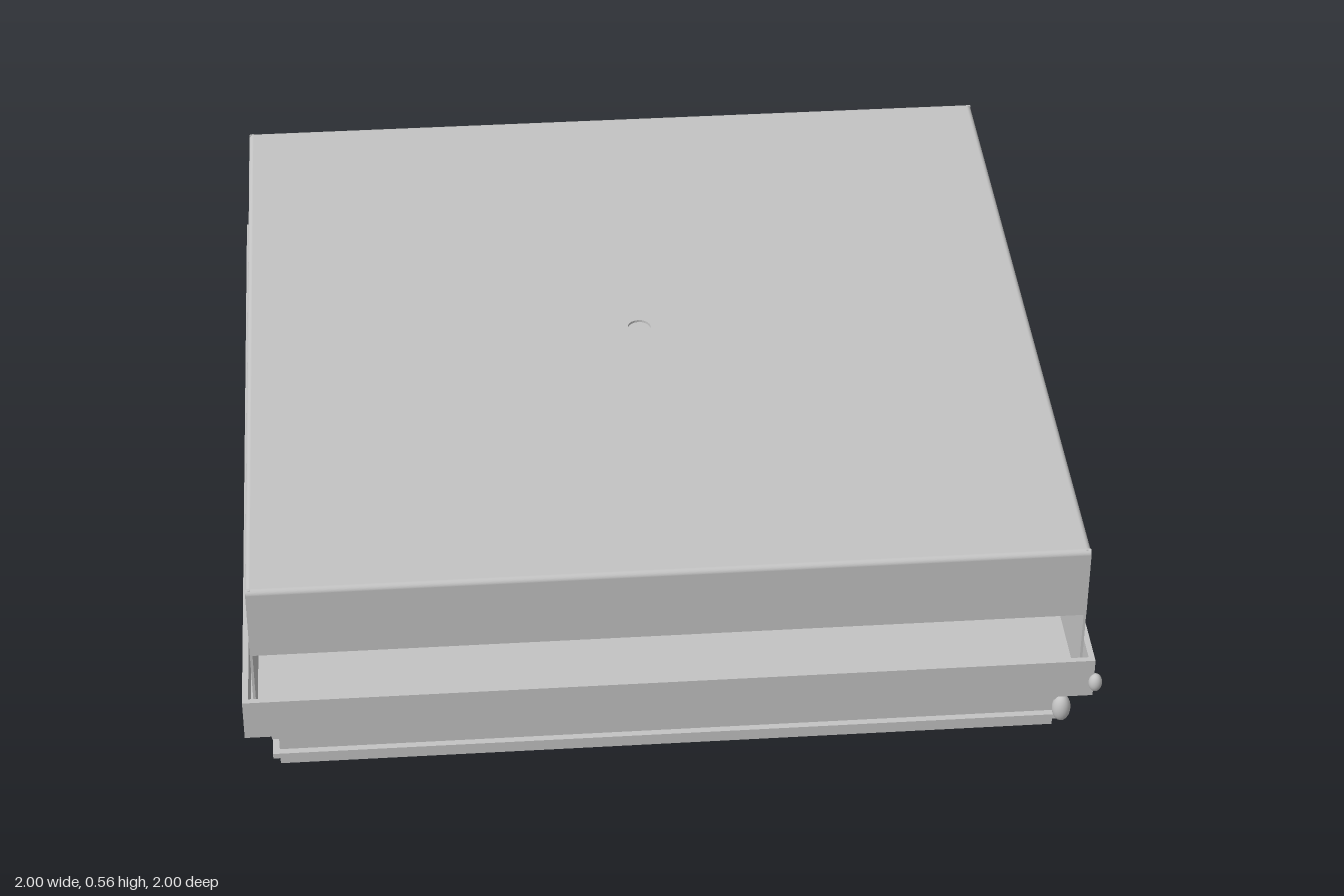
import * as THREE from 'three';

export function createModel() {
  const model = new THREE.Group();
  const body = new THREE.Group();
  body.name = 'cabinet';
  body.position.set(-0.01, 0, -0.01);
  model.add(body);
  const steel = new THREE.MeshStandardMaterial({ color: 0xc3c3c3 });
  steel.name = 'grey sheet metal';

  const add = (name, geometry, x = 0, y = 0, z = 0, turn = 0) => {
    const mesh = new THREE.Mesh(geometry, steel);
    mesh.name = name;
    mesh.position.set(x, y, z);
    mesh.rotation.y = turn;
    body.add(mesh);
    return mesh;
  };
  const rect = (PathType, hw, y0, y1) => {
    const p = new PathType();
    p.moveTo(-hw, y0);
    p.lineTo(hw, y0);
    p.lineTo(hw, y1);
    p.lineTo(-hw, y1);
    p.closePath();
    return p;
  };
  const hole = (x, y, r) => new THREE.Path().absarc(x, y, r, 0, Math.PI * 2, true);
  const extrude = (shape, depth) =>
    new THREE.ExtrudeGeometry(shape, { depth, bevelEnabled: false, curveSegments: 10 });

  // Square ring standing between two heights
  const frame = (name, half, wall, y0, y1) => {
    const s = rect(THREE.Shape, half, -half, half);
    s.holes.push(rect(THREE.Path, half - wall, -(half - wall), half - wall));
    add(name, extrude(s, y1 - y0).rotateX(-Math.PI / 2), 0, y0, 0);
  };

  // Base skirt, open underneath, with two thin ribs
  frame('baseSkirt', 0.915, 0.01, 0, 0.155);
  for (const y of [0.03, 0.09]) frame('baseRib', 0.931, 0.02, y, y + 0.014);

  // Tray floor and rim; the side rims carry two small screw holes each
  add('trayFloor', new THREE.BoxGeometry(1.98, 0.012, 1.98), 0, 0.156, 0);
  for (const s of [-1, 1]) {
    add('trayRimEnd', new THREE.BoxGeometry(1.98, 0.105, 0.014), 0, 0.2025, s * 0.983);
    const side = rect(THREE.Shape, 0.976, 0.15, 0.255);
    for (const z of [-0.61, 0.61]) side.holes.push(hole(z, 0.205, 0.012));
    add('trayRimSide', extrude(side, 0.014).translate(0, 0, -0.007), s * 0.983, 0, 0, Math.PI / 2);
  }

  // Lid: top sheet with a central hole
  const H = 0.965, top = 0.562, r = 0.012, t = 0.006;
  const sheet = rect(THREE.Shape, H - r, -(H - r), H - r);
  sheet.holes.push(hole(0, 0, 0.028));
  add('lidTop', extrude(sheet, t).rotateX(-Math.PI / 2), 0, top - t, 0);

  // Lid walls with a rounded bend into the top sheet
  const flange = (name, bottom, turn, length) => {
    const p = new THREE.Shape();
    p.moveTo(H, bottom);
    p.lineTo(H, top - r);
    p.absarc(H - r, top - r, r, 0, Math.PI / 2, false);
    p.lineTo(H - r, top - t);
    p.absarc(H - r, top - r, r - t, Math.PI / 2, 0, true);
    p.lineTo(H - t, bottom);
    p.closePath();
    add(name, extrude(p, length).translate(0, 0, -length / 2), 0, 0, 0, turn);
  };
  for (const turn of [0, Math.PI]) {
    flange('lidSide', 0.16, turn, 2 * (H - t));
    flange('lidFlap', 0.375, turn + Math.PI / 2, 2 * (H - 0.001));
  }

  // Two beads on the front corner
  const bead = (name, c, y, rx, ry) =>
    add(name, new THREE.SphereGeometry(1, 24, 16), c, y, c).scale.set(rx, ry, rx);
  bead('rimBead', 0.993, 0.192, 0.016, 0.024);
  bead('baseBead', 0.931, 0.066, 0.022, 0.037);

  return model;
}
